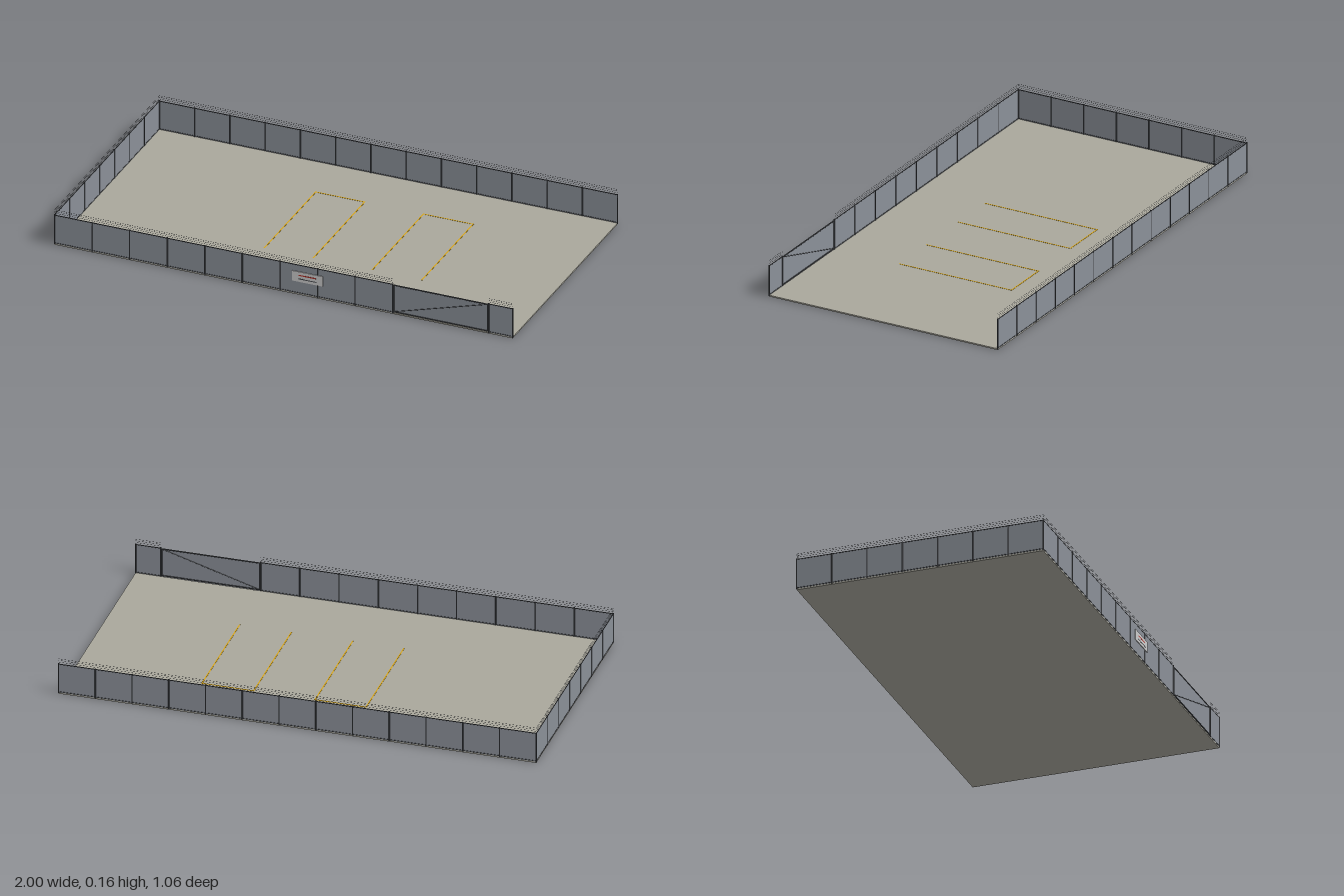
import * as THREE from 'three';

const mat = (color) => new THREE.MeshStandardMaterial({ color });
const X = 0.997, Z = 0.526, FLOOR = 0.006, TOP = 0.135;

export function createModel() {
  const root = new THREE.Group();
  const concrete = mat(0xa9a79c), sheet = mat(0x8b9098), steel = mat(0x45484c);
  const yellow = mat(0xd9a514), white = mat(0xd8d8d4), red = mat(0xb03028);

  const box = (parent, name, size, pos, material) => {
    const m = new THREE.Mesh(new THREE.BoxGeometry(...size), material);
    m.name = name;
    m.position.set(...pos);
    parent.add(m);
    return m;
  };

  // Round bar between two points
  const bar = (parent, name, a, b, r, material, sides = 8) => {
    const p = new THREE.Vector3(...a), q = new THREE.Vector3(...b);
    const d = q.clone().sub(p);
    const m = new THREE.Mesh(new THREE.CylinderGeometry(r, r, d.length(), sides), material);
    m.name = name;
    m.position.copy(p).add(q).multiplyScalar(0.5);
    m.quaternion.setFromUnitVectors(new THREE.Vector3(0, 1, 0), d.normalize());
    parent.add(m);
  };

  // Straight fence along local x from 0 to length: sheet, posts, rails, top wires
  const fence = (name, length, panels, x, z, turn = 0) => {
    const g = new THREE.Group();
    g.name = name;
    g.position.set(x, 0, z);
    g.rotation.y = turn;
    box(g, 'fencePanel', [length, TOP - FLOOR, 0.0015], [length / 2, (TOP + FLOOR) / 2, 0], sheet);
    for (let i = 0; i <= panels; i++) {
      const px = (i * length) / panels;
      bar(g, 'fencePost', [px, FLOOR - 0.002, 0], [px, TOP + 0.002, 0], 0.003, steel);
    }
    for (const y of [FLOOR + 0.003, TOP - 0.001])
      bar(g, 'fenceRail', [0, y, 0], [length, y, 0], 0.0018, steel, 6);
    for (const y of [0.143, 0.151, 0.158])
      bar(g, 'topWire', [0, y, 0], [length, y, 0], 0.0005, steel, 4);
    root.add(g);
  };

  // Ground slab
  box(root, 'groundSlab', [2 * X, FLOOR, 2 * Z], [0, FLOOR / 2, 0], concrete);

  // Fences on three sides, the +x side stays open
  const gateA = 0.475, gateB = 0.893;
  fence('backFence', 2 * X, 13, -X, -Z);
  fence('sideFence', 2 * Z, 7, -X, Z, Math.PI / 2);
  fence('frontFence', gateA + X, 9, -X, Z);
  fence('frontFenceEnd', X - gateB, 1, gateB, Z);

  // Gate with frame and diagonal brace
  const gate = new THREE.Group();
  gate.name = 'gate';
  root.add(gate);
  const y0 = FLOOR + 0.005, y1 = TOP - 0.004, a = gateA + 0.005, b = gateB - 0.005;
  box(gate, 'gatePanel', [b - a, y1 - y0, 0.0015], [(a + b) / 2, (y0 + y1) / 2, Z], sheet);
  for (const y of [y0, y1]) bar(gate, 'gateRail', [a, y, Z], [b, y, Z], 0.0028, steel);
  for (const x of [a, b]) bar(gate, 'gateStile', [x, y0, Z], [x, y1, Z], 0.0025, steel);
  bar(gate, 'gateBrace', [a, y0, Z], [b, y1, Z], 0.002, steel);

  // Notice board on the front fence, with plain stripes
  const sign = new THREE.Group();
  sign.name = 'noticeBoard';
  root.add(sign);
  box(sign, 'noticePlate', [0.134, 0.045, 0.003], [0.105, 0.083, Z + 0.003], white);
  box(sign, 'redStripe', [0.074, 0.005, 0.0005], [0.105, 0.09, Z + 0.0046], red);
  box(sign, 'darkStripe', [0.082, 0.004, 0.0005], [0.105, 0.074, Z + 0.0046], steel);

  // Painted parking bays, open towards the front
  const w = 0.005, zBack = -0.29, zFront = 0.23, paintY = FLOOR + 0.0004;
  for (const [l, r] of [[-0.213, 0.0], [0.256, 0.472]]) {
    const bay = new THREE.Group();
    bay.name = 'parkingBay';
    for (const x of [l, r])
      box(bay, 'bayLine', [w, 0.0008, zFront - zBack], [x, paintY, (zFront + zBack) / 2], yellow);
    box(bay, 'bayEndLine', [r - l - w, 0.0008, w], [(l + r) / 2, paintY, zBack + w / 2], yellow);
    root.add(bay);
  }
  return root;
}
